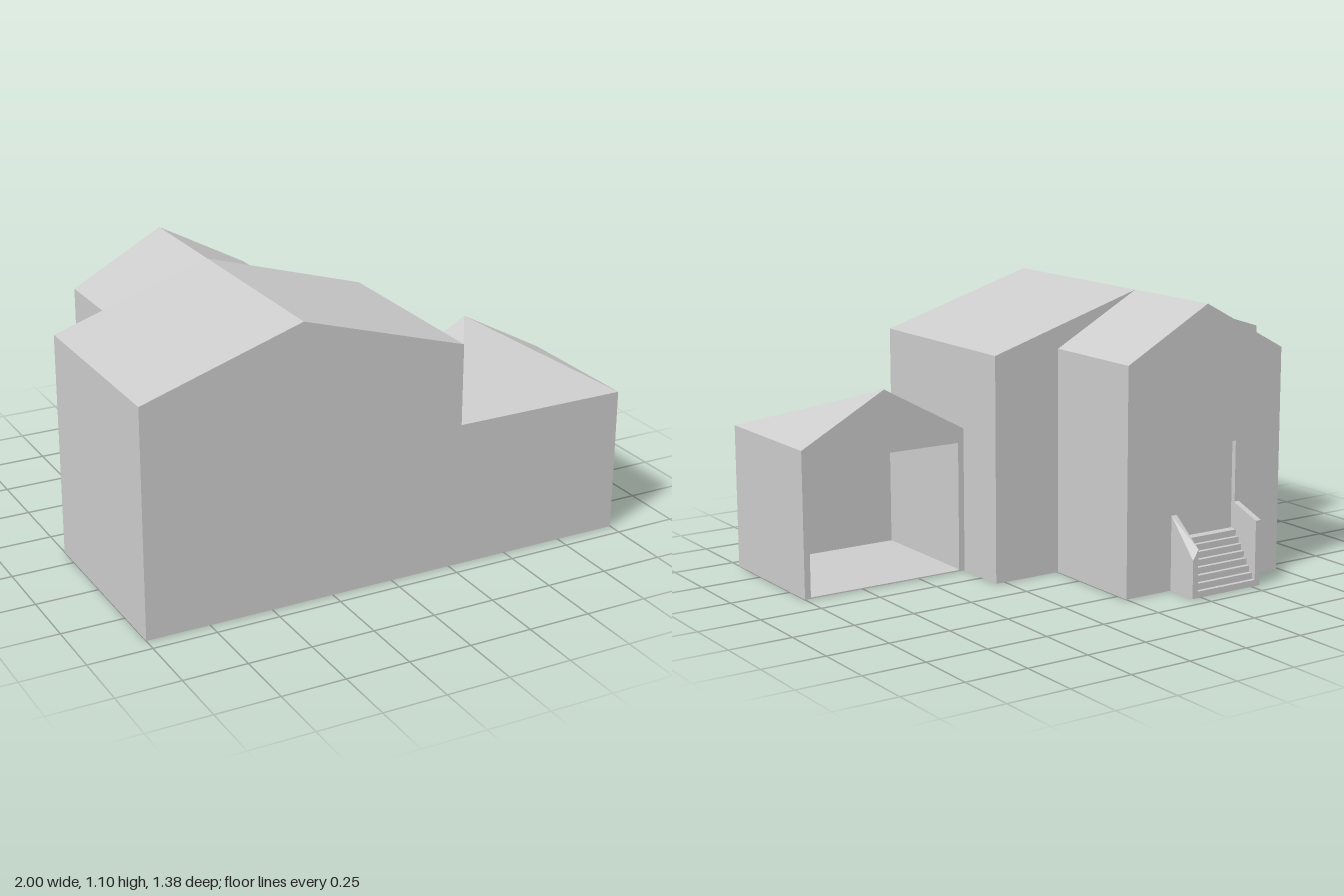
import * as THREE from 'three';

const material = new THREE.MeshStandardMaterial({ color: 0xcccccc, flatShading: true });

function add(parent, name, geometry) {
  const mesh = new THREE.Mesh(geometry, material);
  mesh.name = name;
  parent.add(mesh);
  return mesh;
}

// Box given by its lower and upper limits
function block(parent, name, [x0, y0, z0], [x1, y1, z1]) {
  const g = new THREE.BoxGeometry(x1 - x0, y1 - y0, z1 - z0);
  g.translate((x0 + x1) / 2, (y0 + y1) / 2, (z0 + z1) / 2);
  return add(parent, name, g);
}

const outline = (pts) => new THREE.Shape(pts.map(([x, y]) => new THREE.Vector2(x, y)));

// Outline in x and y, extruded from z0 to z1
function slab(parent, name, shape, z0, z1) {
  const g = new THREE.ExtrudeGeometry(shape, { depth: z1 - z0, bevelEnabled: false });
  g.translate(0, 0, z0);
  return add(parent, name, g);
}

// Triangles from corners, with each face listed anticlockwise from outside
function solid(parent, name, corners, faces) {
  const g = new THREE.BufferGeometry();
  const pos = faces.flat().flatMap((i) => corners[i]);
  g.setAttribute('position', new THREE.Float32BufferAttribute(pos, 3));
  g.computeVertexNormals();
  return add(parent, name, g);
}

const EAVE = 0.895, RIDGE = 1.095, BACK = -0.553;
const gable = (x0, x1, mid) =>
  outline([[x0, 0], [x1, 0], [x1, EAVE], [mid, RIDGE], [x0, EAVE]]);

// Open garage with a roof hipped at the front
function garage() {
  const group = new THREE.Group();
  group.name = 'garage';
  const x0 = 0.29, x1 = 1, z0 = 0.13, z1 = 0.69, top = 0.575, t = 0.02;
  block(group, 'garageFrontWall', [x0, 0, z1 - t], [x1, top, z1]);
  block(group, 'garageLeftWall', [x1 - t, 0, z0 + t], [x1, top, z1 - t]);
  block(group, 'garageRightWall', [x0, 0, z0 + t], [x0 + t, top, z1 - t]);
  block(group, 'garageFloor', [x0 + t, 0, z0], [x1 - t, 0.005, z1 - t]);
  block(group, 'garageCeiling', [x0 + t, 0.55, z0 + t], [x1 - t, top, z1 - t]);
  const j = 0.025;
  slab(group, 'garageDoorFrame', outline([
    [x0, 0], [x0 + j, 0], [x0 + j, 0.52], [x1 - j, 0.52],
    [x1 - j, 0], [x1, 0], [x1, top], [x0, top],
  ]), z0, z0 + t);
  solid(group, 'garageRoof', [
    [x0, top, z0], [x1, top, z0], [x1, top, z1], [x0, top, z1], [0.643, 0.768, z0],
  ], [[3, 2, 4], [2, 1, 4], [0, 3, 4], [1, 0, 4]]);
  return group;
}

// Side wall of the stairs; its sloped top can tilt between the two sides
function cheek(parent, name, x0, x1, yWall, yEnd0, yEnd1) {
  const z = -0.688;
  solid(parent, name, [
    [x0, 0, z], [x1, 0, z], [x1, 0, BACK], [x0, 0, BACK],
    [x0, yEnd0, z], [x1, yEnd1, z], [x1, yWall, BACK], [x0, yWall, BACK],
  ], [
    [0, 1, 2], [0, 2, 3], [4, 7, 6], [4, 6, 5], [0, 4, 5], [0, 5, 1],
    [1, 5, 6], [1, 6, 2], [3, 2, 6], [3, 6, 7], [0, 3, 7], [0, 7, 4],
  ]);
}

// Steps up to the back door
function stairs() {
  const group = new THREE.Group();
  group.name = 'backStairs';
  const count = 8, run = 0.135 / count, rise = 0.2 / count;
  for (let i = 0; i < count; i++) {
    const z = -0.688 + i * run;
    block(group, 'step' + (i + 1), [-0.515, 0, z], [-0.235, rise * (i + 1), z + run]);
  }
  cheek(group, 'rightStairWall', -0.54, -0.515, 0.308, 0.26, 0.26);
  cheek(group, 'leftStairWall', -0.235, -0.21, 0.296, 0.19, 0.15);
  return group;
}

export function createModel() {
  const model = new THREE.Group();
  model.name = 'house';

  // Main block
  slab(model, 'mainHouse', gable(-1, 0.29, -0.37), -0.1, 0.69);

  // Back wing, its end wall cut by a shallow door recess
  const wing = gable(-0.74, 0, -0.37);
  slab(model, 'backWing', wing, BACK + 0.02, -0.1);
  const endWall = wing.clone();
  endWall.holes.push(outline([[-0.52, 0.2], [-0.52, 0.55], [-0.235, 0.55], [-0.235, 0.2]]));
  slab(model, 'backWingEndWall', endWall, BACK, BACK + 0.02);

  model.add(garage(), stairs());
  return model;
}
